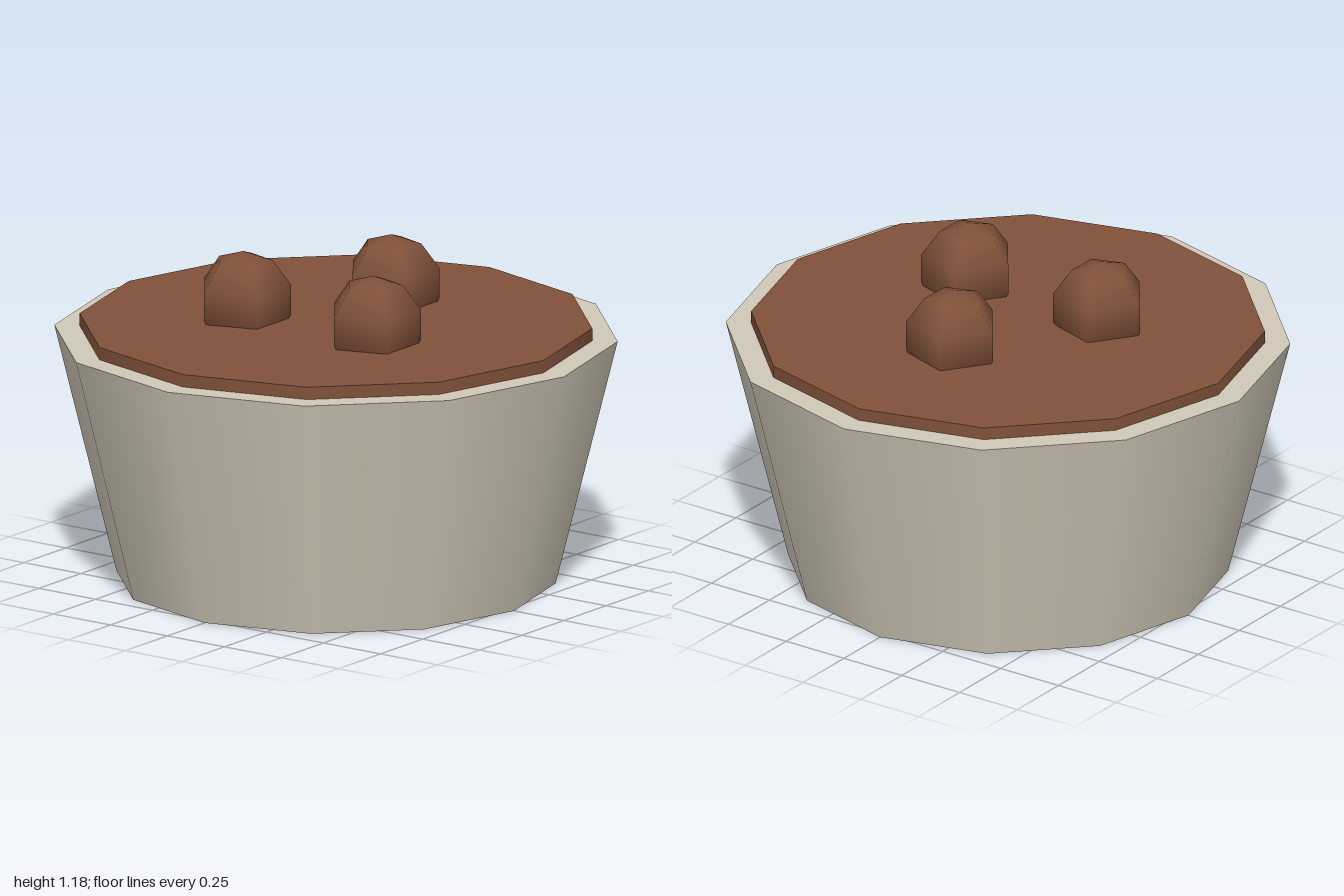
import * as THREE from 'three';

export function createModel() {
  const model = new THREE.Group();
  const ceramic = new THREE.MeshStandardMaterial({ name: 'pale stone', color: 0xd0c8b8 });
  const chocolate = new THREE.MeshStandardMaterial({ name: 'chocolate brown', color: 0x80513a });

  const add = (name, geometry, material, x, y, z) => {
    const mesh = new THREE.Mesh(geometry, material);
    mesh.name = name;
    mesh.position.set(x, y, z);
    model.add(mesh);
  };

  // Tapered twelve-sided cup
  add('cup', new THREE.CylinderGeometry(1, 0.78, 0.89, 12), ceramic, 0, 0.445, 0);

  // Filling, slightly proud of the rim
  add('filling', new THREE.CylinderGeometry(0.91, 0.91, 0.09, 12), chocolate, 0, 0.89, 0);

  // Three five-sided balls, each with a corner towards the back
  const ball = new THREE.SphereGeometry(0.178, 5, 5).rotateY(-Math.PI / 2);
  [[0.33, 0], [-0.165, 0.285], [-0.165, -0.285]].forEach(([x, z], i) =>
    add(`ball${i + 1}`, ball, chocolate, x, 1.002, z));

  return model;
}
